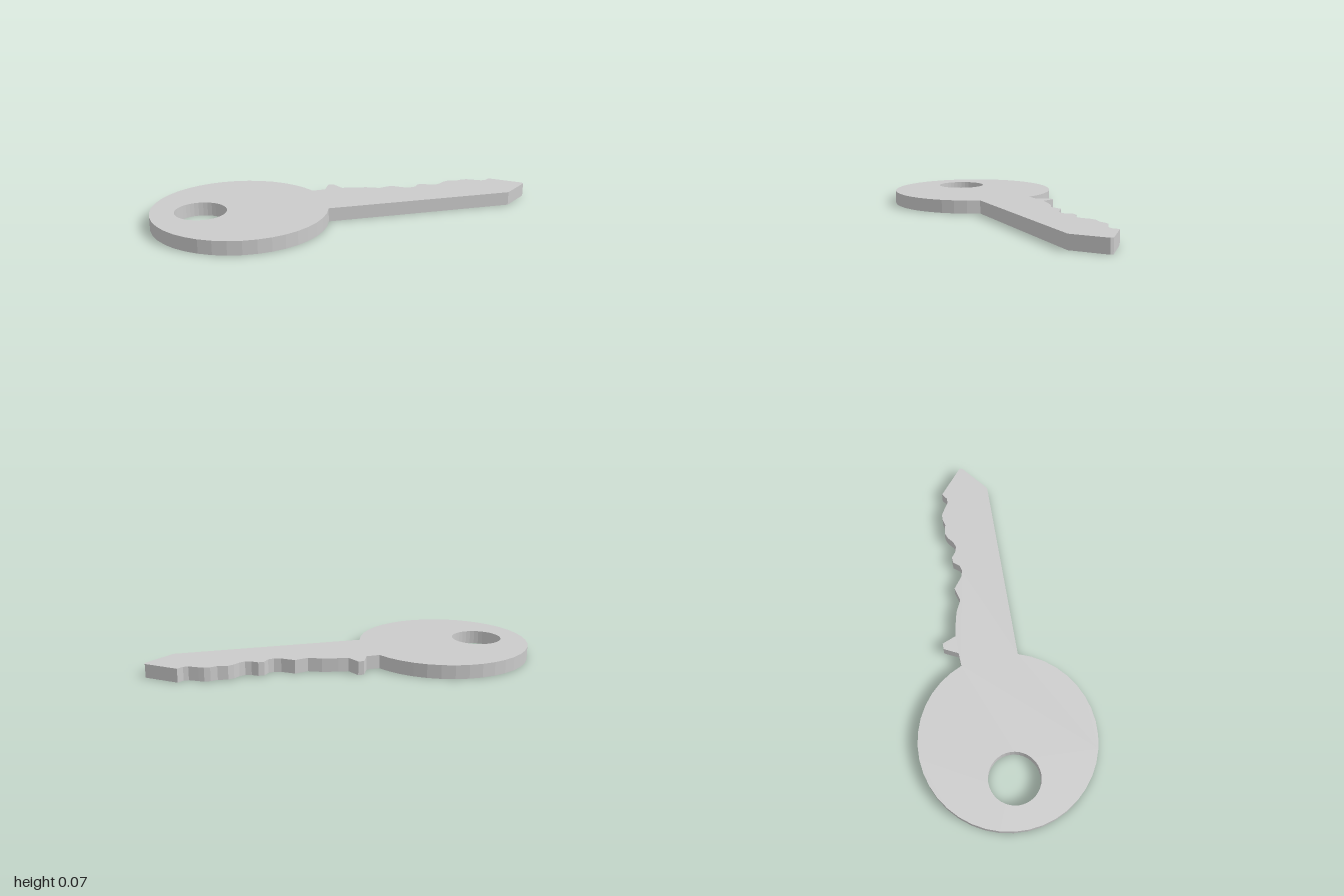
import * as THREE from 'three';

const THICKNESS = 0.07;
const BOW = { x: -0.555, r: 0.445 };
const HOLE = { x: -0.75, r: 0.13 };

// Cut edge of the blade, from the bow to the shoulder of the tip
const CUTS = [
  [-0.075, 0.174], [-0.04, 0.247], [-0.01, 0.247], [0.02, 0.176], [0.07, 0.169],
  [0.15, 0.152], [0.215, 0.122], [0.285, 0.142], [0.345, 0.098], [0.38, 0.088],
  [0.41, 0.096], [0.435, 0.128], [0.465, 0.13], [0.495, 0.108], [0.525, 0.099],
  [0.555, 0.11], [0.585, 0.135], [0.615, 0.147], [0.665, 0.137], [0.7, 0.147],
  [0.73, 0.146], [0.755, 0.132], [0.8, 0.105], [0.825, 0.106], [0.855, 0.128],
];

// Pointed tip and straight lower edge's far corner
const TIP = [[1, 0.01], [1, -0.006], [0.855, -0.124]];

export function createModel() {
  const group = new THREE.Group();
  group.name = 'key';

  // Round bow running into the blade as one flat outline
  const outline = new THREE.Shape();
  const upper = Math.asin(0.17 / BOW.r);
  const lower = Math.asin(0.124 / BOW.r);
  outline.absarc(BOW.x, 0, BOW.r, upper, Math.PI * 2 - lower, false);
  for (const [x, y] of [...TIP].reverse()) outline.lineTo(x, y);
  for (const [x, y] of [...CUTS].reverse()) outline.lineTo(x, y);
  outline.closePath();

  // Ring hole
  const hole = new THREE.Path();
  hole.absarc(HOLE.x, 0, HOLE.r, 0, Math.PI * 2, true);
  outline.holes.push(hole);

  // Lay the plate flat on the ground
  const geometry = new THREE.ExtrudeGeometry(outline, {
    depth: THICKNESS, bevelEnabled: false, curveSegments: 18,
  });
  geometry.rotateX(-Math.PI / 2);

  const plate = new THREE.Mesh(
    geometry,
    new THREE.MeshStandardMaterial({ color: 0xcccccc, flatShading: true }),
  );
  plate.name = 'keyPlate';
  group.add(plate);
  return group;
}
